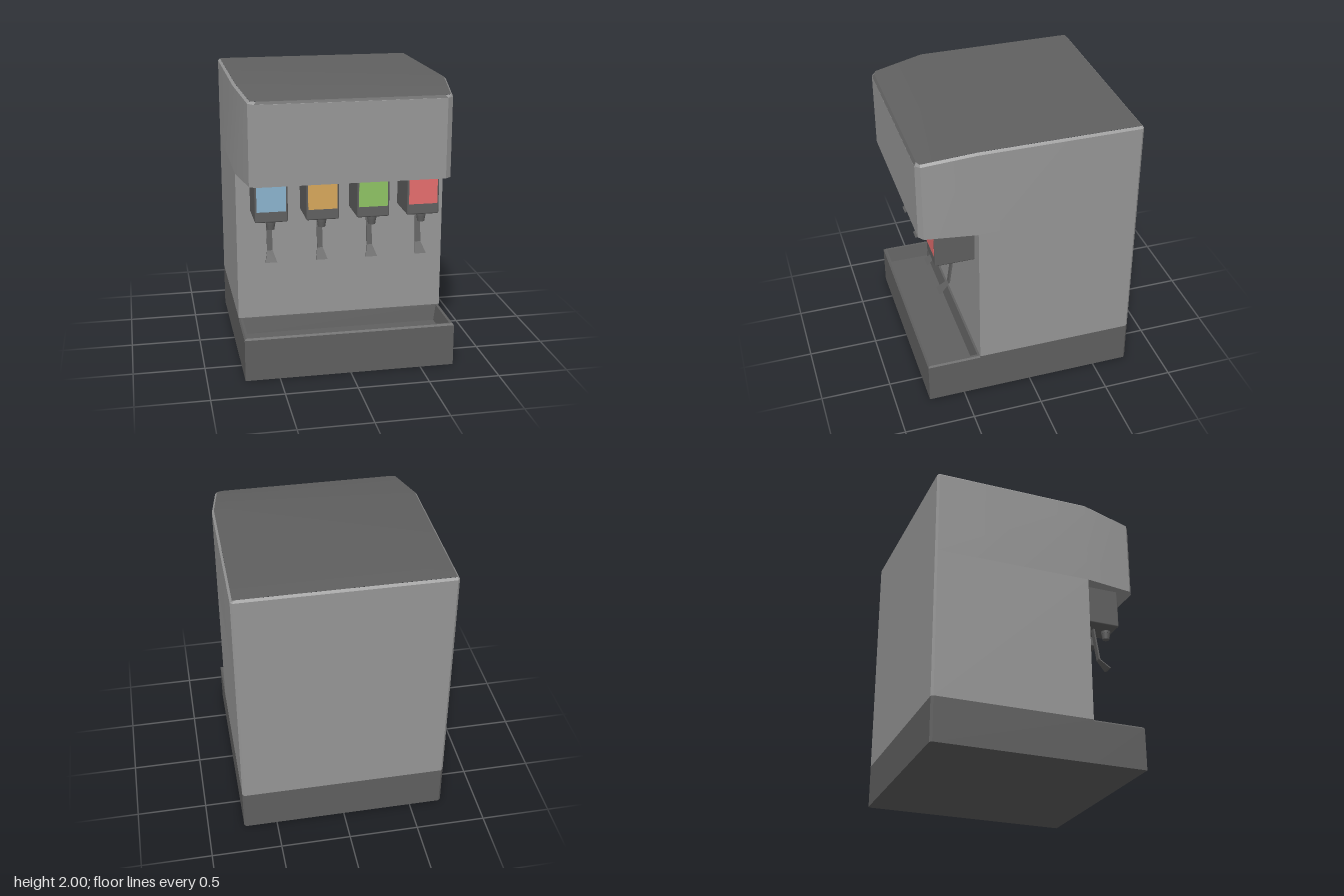
import * as THREE from 'three';
import { toCreasedNormals } from 'three/addons/utils/BufferGeometryUtils.js';
import { RoundedBoxGeometry } from 'three/addons/geometries/RoundedBoxGeometry.js';

const grey = new THREE.MeshStandardMaterial({ color: 0x979797 });
const dark = new THREE.MeshStandardMaterial({ color: 0x606060 });
const darkThin = new THREE.MeshStandardMaterial({ color: 0x606060, side: THREE.DoubleSide });

function add(parent, name, geometry, material, x = 0, y = 0, z = 0) {
  const mesh = new THREE.Mesh(geometry, material);
  mesh.name = name;
  mesh.position.set(x, y, z);
  parent.add(mesh);
}

// Joins half rings ([x, y, z] from back to front on +x, mirrored to -x), with optional caps;
// gentle bends are smooth, sharper ones stay crisp
function loft(halves, capTop, capBottom) {
  const pos = [];
  const quad = (a, b, c, d) => pos.push(...a, ...b, ...c, ...a, ...c, ...d);
  const flip = ([x, y, z]) => [-x, y, z];
  const rings = halves.map((h) => [...h, ...h.map(flip).reverse()]);
  for (let r = 0; r + 1 < rings.length; r++) {
    const a = rings[r], b = rings[r + 1];
    a.forEach((p, i) => {
      const j = (i + 1) % a.length;
      quad(a[j], p, b[i], b[j]);
    });
  }
  const cap = (h, up) => {
    for (let i = 0; i + 1 < h.length; i++) {
      const c = [flip(h[i]), flip(h[i + 1]), h[i + 1], h[i]];
      quad(...(up ? c : c.reverse()));
    }
  };
  if (capTop) cap(halves[halves.length - 1], true);
  if (capBottom) cap(halves[0], false);
  const g = new THREE.BufferGeometry();
  g.setAttribute('position', new THREE.Float32BufferAttribute(pos, 3));
  return toCreasedNormals(g, 0.3);
}

const atY = (plan, y) => plan.map(([x, z]) => [x, y, z]);

export function createModel() {
  const model = new THREE.Group();
  model.name = 'drinkDispenser';

  // Cabinet with chamfered back corners, on a dark plinth
  const depth = 0.762;
  const cabinetPlan = [[0.725, -depth], [0.74, 0.015 - depth], [0.74, 0.375]];
  add(model, 'plinth', loft([atY(cabinetPlan, 0), atY(cabinetPlan, 0.31)], true, true), dark);
  add(model, 'cabinet', loft([atY(cabinetPlan, 0.31), atY(cabinetPlan, 1.376)]), grey);

  // Overhanging head that narrows toward the front
  const headPlan = [...cabinetPlan, [0.685, 0.732], [0.645, depth]];
  const lidY = (z) => 2 - 0.06 * Math.max(0, (z - 0.375) / (depth - 0.375));
  const bevel = 0.015;
  const shoulder = headPlan.map(([x, z]) => [x, lidY(z) - bevel, z]);
  const lidRing = headPlan.map(([x, z]) => {
    const zi = THREE.MathUtils.clamp(z, bevel - depth, depth - bevel);
    return [x - bevel, lidY(zi), zi];
  });
  add(model, 'head', loft([atY(headPlan, 1.376), shoulder, lidRing], false, true), grey);

  // Sloping dark lid, folded down over the front bevel
  add(model, 'lid', loft([[...lidRing, shoulder[4]]], true), dark, 0, 0.001, 0);

  // Drip tray: bevelled rim and a recess with tapering walls
  const trayPlan = (x, back, front) => [[x, back], [x, front]];
  add(model, 'dripTray', loft([
    atY(trayPlan(0.74, 0.375, 0.757), 0),
    atY(trayPlan(0.74, 0.375, 0.757), 0.298),
    atY(trayPlan(0.73, 0.375, 0.745), 0.31),
    atY(trayPlan(0.712, 0.39, 0.733), 0.31),
    atY(trayPlan(0.69, 0.41, 0.715), 0.2),
  ], true, true), dark);

  // Lever: a thin strip bent forward, ending in a flared paddle
  const lever = [[0.019, 1.11, 0.498], [0.019, 0.865, 0.535], [0.04, 0.8, 0.606]];
  const strip = (t) => lever.map(([x, y, z]) => [x, y, z + t]);
  const leverGeometry = loft([strip(-0.005), strip(0.007)], true, true);

  // Four valves in a row, each with a coloured panel, a nozzle and a lever
  [0x8cb4ce, 0xd8a85c, 0x8fc464, 0xe66e6e].forEach((color, i) => {
    const valve = new THREE.Group();
    valve.name = 'valve' + (i + 1);
    valve.position.x = -0.529 + 0.35 * i;
    model.add(valve);
    add(valve, 'valveBody', new RoundedBoxGeometry(0.225, 0.3, 0.3, 1, 0.01), dark, 0, 1.248, 0.504);
    add(valve, 'flavourPanel', new THREE.BoxGeometry(0.2, 0.185, 0.008),
      new THREE.MeshStandardMaterial({ color }), 0, 1.266, 0.651);
    add(valve, 'nozzleCollar', new THREE.CylinderGeometry(0.035, 0.033, 0.022, 20), dark, 0, 1.09, 0.603);
    add(valve, 'nozzle', new THREE.CylinderGeometry(0.032, 0.025, 0.045, 20), dark, 0, 1.06, 0.603);
    add(valve, 'lever', leverGeometry, darkThin);
  });

  return model;
}
